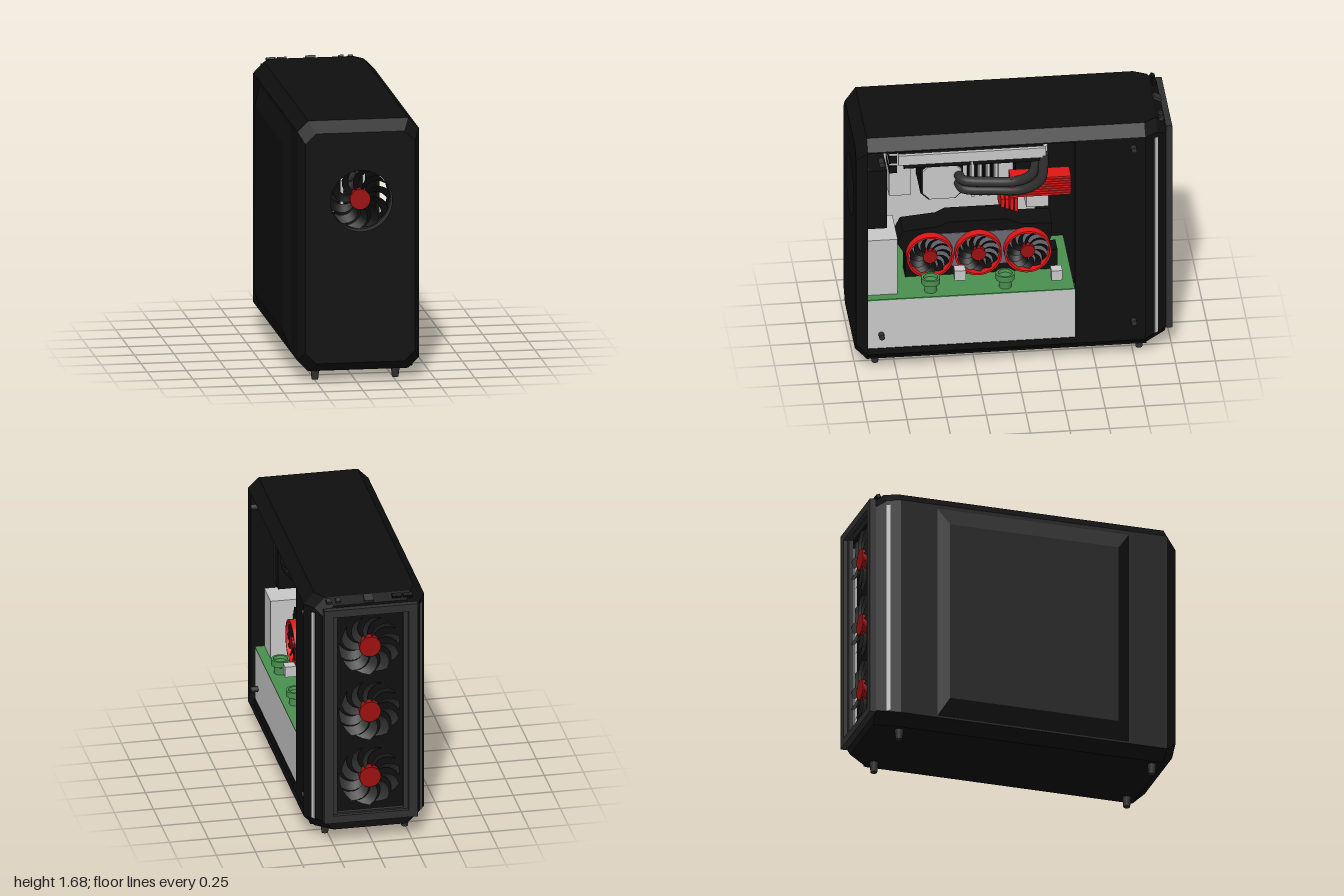
import * as THREE from 'three';

const mat = (name, color, side = THREE.FrontSide) => {
  const m = new THREE.MeshStandardMaterial({ color, side });
  m.name = name;
  return m;
};

export function createModel() {
  const root = new THREE.Group();
  root.name = 'desktopComputer';
  const black = mat('black', 0x0f0f0f, THREE.DoubleSide);
  const dark = mat('darkGrey', 0x303030, THREE.DoubleSide);
  const light = mat('lightGrey', 0xc8c8c8);
  const red = mat('red', 0xe01616);
  const deepRed = mat('deepRed', 0x9c1010);
  const green = mat('green', 0x4a9050);
  const slate = mat('slate', 0x6c6972);

  const add = (name, geo, m, parent = root) => {
    const mesh = new THREE.Mesh(geo, m);
    mesh.name = name;
    parent.add(mesh);
    return mesh;
  };
  // Box given by its extents
  const block = (name, m, x0, x1, y0, y1, z0, z1) => {
    const b = add(name, new THREE.BoxGeometry(x1 - x0, y1 - y0, z1 - z0), m);
    b.position.set((x0 + x1) / 2, (y0 + y1) / 2, (z0 + z1) / 2);
    return b;
  };
  const poly = (pts) => new THREE.Shape(pts.map((p) => new THREE.Vector2(p[0], p[1])));
  const rect = (x0, x1, y0, y1) => poly([[x0, y0], [x1, y0], [x1, y1], [x0, y1]]);
  const octagon = (x0, x1, y0, y1, c) => [
    [x1, y0 + c], [x1, y1 - c], [x1 - c, y1], [x0 + c, y1],
    [x0, y1 - c], [x0, y0 + c], [x0 + c, y0], [x1 - c, y0]];
  const circle = (x, y, r) => new THREE.Path().absarc(x, y, r, 0, Math.PI * 2, true);
  const extrude = (shape, depth) =>
    new THREE.ExtrudeGeometry(shape, { depth, bevelEnabled: false, curveSegments: 32 });

  // Fan rotor facing +z, with swept and pitched blades
  const fan = (name, r, hubR, count, bladeMat, depth = 0.04) => {
    const g = new THREE.Group();
    g.name = name;
    for (let i = 0; i < count; i++) {
      const geo = new THREE.PlaneGeometry(1, 1, 6, 2);
      const p = geo.attributes.position;
      for (let k = 0; k < p.count; k++) {
        const u = p.getX(k) + 0.5, v = p.getY(k);
        const rad = hubR * 0.9 + u * (r - hubR * 0.9);
        const a = (i / count) * Math.PI * 2 - u * u * 0.55 + v * (0.4 + 0.03 * u);
        p.setXYZ(k, Math.cos(a) * rad, Math.sin(a) * rad, v * depth);
      }
      geo.computeVertexNormals();
      add('fanBlade', geo, bladeMat, g);
    }
    const hub = add('fanHub', new THREE.CylinderGeometry(hubR, hubR, depth + 0.01, 28), deepRed, g);
    hub.rotation.x = Math.PI / 2;
    root.add(g);
    return g;
  };

  // Case shell: octagonal cross-sections along z, open on the window side
  const sections = [
    [1, -0.325, 0.37, 0.125, 1.6], [0.93, -0.365, 0.405, 0.065, 1.67],
    [-0.82, -0.365, 0.405, 0.065, 1.67], [-0.9, -0.325, 0.352, 0.08, 1.67],
    [-0.96, -0.29, 0.31, 0.09, 1.635]];
  const rings = sections.map(([z, ...s]) => octagon(...s, 0.068).map((p) => [...p, z]));
  const verts = [];
  for (let s = 0; s < rings.length - 1; s++) {
    for (let i = 0; i < 8; i++) {
      if (s === 1 && i === 0) continue;
      const j = (i + 1) % 8, A = rings[s], B = rings[s + 1];
      verts.push(...A[i], ...B[i], ...B[j], ...A[i], ...B[j], ...A[j]);
    }
  }
  const shell = new THREE.BufferGeometry();
  shell.setAttribute('position', new THREE.Float32BufferAttribute(verts, 3));
  shell.computeVertexNormals();
  add('caseShell', shell, black);

  const frontShape = poly(rings[0]);
  frontShape.holes.push(circle(0.03, 1.16, 0.195));
  add('frontPanel', new THREE.ShapeGeometry(frontShape, 40), black).position.z = 1;
  const capShape = poly(rings[4]);
  capShape.holes.push(rect(-0.22, 0.24, 0.2, 1.57));
  add('backPanel', new THREE.ShapeGeometry(capShape), black).position.z = -0.96;

  // Raised plate on the closed side
  const bulge = new THREE.BoxGeometry(0.045, 1.46, 1.28);
  bulge.translate(-0.3825, 0.86, 0.05);
  const bp = bulge.attributes.position;
  for (let k = 0; k < bp.count; k++) {
    if (bp.getX(k) > -0.39) continue;
    bp.setY(k, bp.getY(k) > 0.8 ? 1.46 : 0.26);
    bp.setZ(k, bp.getZ(k) > 0 ? 0.6 : -0.51);
  }
  bulge.computeVertexNormals();
  add('raisedSidePlate', bulge, black);

  // Window side: cover, sills and thumb knobs
  block('sideCover', black, 0.345, 0.365, 0.1, 1.62, -0.83, -0.38);
  block('windowSill', black, 0.3, 0.365, 0.08, 0.15, -0.83, 0.93);
  block('windowHeader', black, 0.345, 0.365, 1.57, 1.63, -0.83, 0.93);
  for (const z of [0.84, -0.75]) for (const y of [0.25, 1.51]) {
    const k = add('thumbKnob', new THREE.CylinderGeometry(0.018, 0.018, 0.06, 16), dark);
    k.rotation.z = Math.PI / 2;
    k.position.set(0.375, y, z);
  }
  // Light strips on the rear corner chamfers
  for (const [x, a] of [[0.356, 0.58], [-0.327, -0.47]]) {
    const s = add('lightStrip', new THREE.BoxGeometry(0.016, 1.42, 0.026), light);
    s.position.set(x, 0.86, -0.89);
    s.rotation.y = a;
  }

  // Fan grille: stepped frame, backing and three fans
  const frame = rect(-0.29, 0.31, 0.15, 1.62);
  frame.holes.push(rect(-0.23, 0.25, 0.2, 1.57));
  add('grilleFrame', extrude(frame, 0.04), dark).position.z = -1;
  const inner = rect(-0.25, 0.27, 0.18, 1.59);
  inner.holes.push(rect(-0.2, 0.22, 0.21, 1.56));
  add('grilleInnerFrame', extrude(inner, 0.03), dark).position.z = -0.975;
  block('grilleBacking', black, -0.25, 0.27, 0.17, 1.6, -0.905, -0.895);
  for (let i = 0; i < 3; i++) {
    const f = fan('intakeFan', 0.195, 0.068, 10, dark);
    f.position.set(0.01, 0.435 + 0.45 * i, -0.945);
    f.rotation.y = Math.PI;
  }

  // Top controls and feet
  for (const [n, x, w, d, m] of [['powerButton', 0.015, 0.06, 0.055, dark], ['smallButton', 0.21, 0.03, 0.028, dark],
    ['smallButton', 0.27, 0.03, 0.028, dark], ['socket', -0.235, 0.06, 0.025, black], ['socket', -0.165, 0.06, 0.025, black]]) {
    const b = add(n, new THREE.BoxGeometry(w, 0.025, d), m);
    b.position.set(x, 1.657, -0.935);
    b.rotation.x = -0.5;
  }
  for (const x of [-0.245, 0.265]) for (const z of [0.87, -0.795])
    add('foot', new THREE.CylinderGeometry(0.03, 0.021, 0.08, 16), dark).position.set(x, 0.04, z);

  // Exhaust fan in its square housing
  const fanHousing = (name, x, y, depth, m) => {
    const s = rect(-0.21, 0.21, -0.21, 0.21);
    s.holes.push(circle(0, 0, 0.195));
    const h = add(name, extrude(s, depth), m);
    h.position.set(x, y, 0);
    return h;
  };
  fanHousing('exhaustHousing', 0.03, 1.16, 0.12, black).position.z = 0.79;
  fanHousing('exhaustFlange', 0.03, 1.16, 0.025, dark).position.z = 0.905;
  fan('exhaustFan', 0.19, 0.065, 10, black).position.set(0.03, 1.16, 0.93);

  // Lower shroud with green deck
  block('lowerShroud', light, -0.33, 0.36, 0.15, 0.495, -0.38, 0.93);
  block('greenDeck', green, -0.33, 0.36, 0.495, 0.503, -0.38, 0.93);
  block('shroudTower', light, 0.0, 0.3, 0.5, 0.9, 0.73, 0.93);
  for (const z of [0.52, 0.05]) {
    const pot = [[0, 0], [0.04, 0], [0.04, 0.05], [0.06, 0.06], [0.06, 0.1], [0.045, 0.1], [0.04, 0.08], [0, 0.08]];
    const geo = new THREE.LatheGeometry(pot.map((p) => new THREE.Vector2(...p)), 24).toNonIndexed();
    geo.computeVertexNormals();
    add('greenPot', geo, green).position.set(0.28, 0.5, z);
  }
  block('smallCube', light, 0.225, 0.295, 0.57, 0.64, 0.3, 0.37);
  block('smallCube', light, 0.225, 0.295, 0.53, 0.6, -0.31, -0.24);

  // Mainboard and its parts
  block('boardTray', black, -0.33, -0.3, 0.15, 1.6, -0.8, 0.92);
  block('mainboard', light, -0.3, -0.27, 0.65, 1.36, -0.2, 0.77);
  block('portCover', light, -0.27, -0.1, 0.98, 1.3, 0.6, 0.74);
  for (let i = 0; i < 3; i++) block('portBlock', black, -0.27, -0.09, 1.15 + 0.07 * i, 1.2 + 0.07 * i, 0.69, 0.74);
  for (let i = 0; i < 6; i++) block('portTooth', black, -0.27, -0.08, 0.94 + 0.06 * i, 0.99 + 0.06 * i, 0.79, 0.83);
  for (let i = 0; i < 4; i++) {
    const z = 0.21 - 0.05 * i;
    block('memoryStick', light, -0.27, -0.12, 0.93, 1.34, z - 0.01, z + 0.01);
    block('memorySlot', black, -0.27, -0.2, 0.92, 1.34, z - 0.022, z + 0.02);
  }
  block('heatSink', light, -0.27, -0.05, 0.87, 0.99, -0.26, -0.12);
  block('connector', light, -0.27, -0.1, 1.2, 1.28, -0.26, -0.2);
  block('powerSocket', black, -0.27, -0.12, 0.98, 1.3, -0.2, -0.06);
  for (let i = 0; i < 8; i++) block('redCable', red, 0.03, 0.15, 1.067 + 0.017 * i, 1.08 + 0.017 * i, -0.38, 0);
  for (let i = 0; i < 4; i++) block('redCable', red, -0.2, 0.02, 0.86, 0.98, -0.06 + 0.028 * i, -0.038 + 0.028 * i);

  // Side-facing extrusions use (-z, y) outlines
  const sidePlate = (name, shape, x, depth, m) => {
    const p = add(name, extrude(shape, depth), m);
    p.rotation.y = Math.PI / 2;
    p.position.x = x;
    return p;
  };
  sidePlate('coolerBase', poly(octagon(-0.55, -0.28, 0.98, 1.25, 0.05)), -0.27, 0.24, black);
  sidePlate('coolerFace', poly(octagon(-0.538, -0.292, 0.992, 1.238, 0.045)), -0.03, 0.02, light);

  // Coolant tubes
  for (const pts of [
    [[-0.02, 1.155, 0.31], [0.06, 1.16, 0.29], [0.1, 1.16, 0.12], [0.14, 1.18, -0.04], [0.18, 1.25, -0.13], [0.17, 1.42, -0.17]],
    [[-0.02, 1.1, 0.31], [0.06, 1.1, 0.29], [0.1, 1.1, 0.1], [0.16, 1.13, -0.08], [0.22, 1.23, -0.18], [0.22, 1.42, -0.2]]]) {
    const curve = new THREE.CatmullRomCurve3(pts.map((p) => new THREE.Vector3(...p)));
    add('coolantTube', new THREE.TubeGeometry(curve, 40, 0.032, 14), dark);
  }

  // Roof radiator with two downward fans
  block('radiatorCore', black, -0.18, 0.24, 1.42, 1.46, -0.2, 0.71);
  for (const x of [-0.2, 0.225]) block('radiatorRail', light, x, x + 0.025, 1.405, 1.475, -0.21, 0.72);
  for (const z of [0.475, 0.035]) {
    const h = fanHousing('radiatorFanHousing', 0.03, 1.42, 0.045, black);
    h.rotation.x = Math.PI / 2;
    h.position.z = z;
    const ring = add('radiatorFanRing', new THREE.RingGeometry(0.15, 0.195, 36), slate);
    ring.rotation.x = Math.PI / 2;
    ring.position.set(0.03, 1.374, z);
    const f = fan('radiatorFan', 0.15, 0.05, 10, black, 0.03);
    f.rotation.x = Math.PI / 2;
    f.position.set(0.03, 1.39, z);
  }

  // Graphics card with three ringed fans
  const card = poly([[-0.72, 0.79], [-0.68, 0.87], [-0.46, 0.89], [-0.4, 0.92], [-0.03, 0.92],
    [0.06, 0.88], [0.26, 0.87], [0.26, 0.79], [0.2, 0.62], [-0.62, 0.62]]);
  sidePlate('graphicsCard', card, -0.02, 0.18, black);
  block('cardMount', black, -0.02, 0.1, 0.5, 0.64, -0.3, 0.66);
  sidePlate('cardFace', poly(octagon(-0.6, 0.19, 0.6, 0.84, 0.05)), 0.155, 0.009, slate);
  for (const z of [0.515, 0.21, -0.1]) {
    const disc = add('fanBackDisc', new THREE.CircleGeometry(0.14, 36), slate);
    disc.rotation.y = Math.PI / 2;
    disc.position.set(0.168, 0.705, z);
    const s = new THREE.Shape().absarc(-z, 0.705, 0.148, 0, Math.PI * 2);
    s.holes.push(circle(-z, 0.705, 0.136));
    sidePlate('cardFanRing', s, 0.15, 0.07, red);
    const f = fan('cardFan', 0.128, 0.045, 11, black, 0.03);
    f.rotation.y = Math.PI / 2;
    f.position.set(0.195, 0.705, z);
  }
  return root;
}
